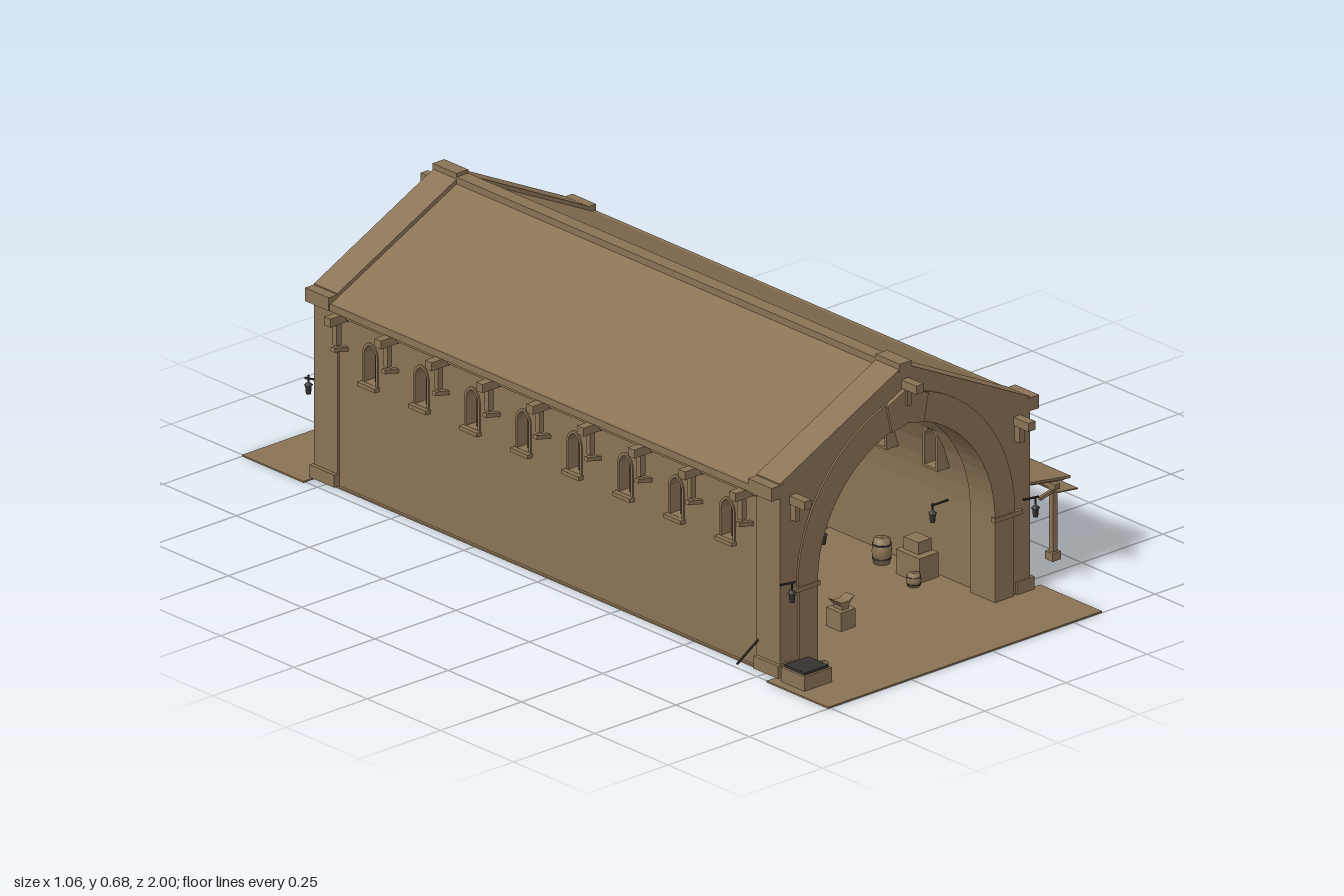
import * as THREE from 'three';

const mat = (name, color) => Object.assign(new THREE.MeshStandardMaterial({ color }), { name });
const V = (x, y, z) => new THREE.Vector3(x, y, z);

export function createModel() {
  const stone = mat('tan stone', 0x8b7355);
  const iron = mat('dark iron', 0x35322f);
  const shell = mat('tan stone two sided', 0x8b7355);
  shell.side = THREE.DoubleSide;
  shell.flatShading = true;

  const root = new THREE.Group();
  root.name = 'hall';
  const hall = new THREE.Group();
  hall.name = 'hallBody';
  hall.position.x = -0.085;
  root.add(hall);

  // ---- helpers ----
  const add = (g, name, geo, x = 0, y = 0, z = 0, m = stone) => {
    const o = new THREE.Mesh(geo, m);
    o.name = name;
    o.position.set(x, y, z);
    g.add(o);
    return o;
  };
  // box from its min and max corners
  const box = (g, name, x0, x1, y0, y1, z0, z1, m) => add(g, name,
    new THREE.BoxGeometry(x1 - x0, y1 - y0, z1 - z0), (x0 + x1) / 2, (y0 + y1) / 2, (z0 + z1) / 2, m);
  // bar running from a to b
  const beam = (g, name, a, b, w, h, m) => {
    const o = add(g, name, new THREE.BoxGeometry(w, h, a.distanceTo(b)), 0, 0, 0, m);
    o.position.copy(a).lerp(b, 0.5);
    o.lookAt(b);
    return o;
  };
  const extrude = (shape, depth) => new THREE.ExtrudeGeometry(shape, { depth, bevelEnabled: false });
  // pointed arch, right springing to left springing
  const arch = (h, spring, rise, cx = 0, n = 14) => {
    const r = (rise * rise + h * h) / (2 * h), end = Math.asin(rise / r), right = [];
    for (let i = 0; i <= n; i++) {
      const t = (end * i) / n;
      right.push([r * Math.cos(t) - (r - h), spring + r * Math.sin(t)]);
    }
    const left = right.slice(0, -1).reverse().map(([x, y]) => [-x, y]);
    return [...right, ...left].map(([x, y]) => new THREE.Vector2(x + cx, y));
  };
  const archWindow = (h, y0, spring, rise, cx) => [
    new THREE.Vector2(cx - h, y0), new THREE.Vector2(cx + h, y0), ...arch(h, spring, rise, cx, 5)];
  const barrel = (g, x, z, r, h, y = 0.004) => {
    const p = [[0, 0], [r * 0.82, 0], [r, h * 0.5], [r * 0.82, h], [0, h]].map(a => new THREE.Vector2(...a));
    add(g, 'barrel', new THREE.LatheGeometry(p, 12), x, y, z);
    for (const k of [0.22, 0.78])
      add(g, 'barrelHoop', new THREE.CylinderGeometry(r * 0.95, r * 0.95, h * 0.07, 12), x, y + h * k, z, iron);
  };
  const lantern = (g, x, y, z) => {
    add(g, 'lanternBody', new THREE.CylinderGeometry(0.008, 0.006, 0.022, 6), x, y, z, iron);
    add(g, 'lanternCap', new THREE.ConeGeometry(0.011, 0.01, 6), x, y + 0.016, z, iron);
    box(g, 'lanternHook', x - 0.0015, x + 0.0015, y + 0.02, y + 0.036, z - 0.0015, z + 0.0015, iron);
  };

  // ---- floor ----
  box(hall, 'floor', -0.385, 0.385, 0, 0.004, -0.79, 0.79);

  // ---- end gables, the rear one turned half round ----
  for (const turn of [0, Math.PI]) {
    const end = new THREE.Group();
    end.name = turn ? 'rearGable' : 'frontGable';
    end.rotation.y = turn;
    hall.add(end);
    box(end, 'apron', -0.422, 0.422, 0, 0.004, 0.79, 1);

    const wall = new THREE.Shape([[0.273, 0], [0.385, 0], [0.385, 0.483], [0, 0.672], [-0.385, 0.483], [-0.385, 0], [-0.273, 0]]
      .map(p => new THREE.Vector2(...p)).concat(arch(0.273, 0.21, 0.32).reverse()));
    add(end, 'gableWall', extrude(wall, 0.08), 0, 0, 0.715);

    const ring = new THREE.Shape([...arch(0.335, 0.21, 0.395), ...arch(0.273, 0.21, 0.32).reverse()]);
    add(end, 'archRing', extrude(ring, 0.006), 0, 0, 0.794);
    const key = new THREE.Shape([[-0.049, 0.518], [0, 0.53], [0.049, 0.518], [0.063, 0.587], [0, 0.617], [-0.063, 0.587]]
      .map(p => new THREE.Vector2(...p)));
    add(end, 'keystone', extrude(key, 0.012), 0, 0, 0.794);
    box(end, 'ridgeBlock', -0.018, 0.018, 0.655, 0.677, 0.715, 0.797);

    for (const s of [-1, 1]) {
      const span = (name, a, b, ...r) => box(end, name, Math.min(s * a, s * b), Math.max(s * a, s * b), ...r);
      span('pilaster', 0.273, 0.33, 0.004, 0.203, 0.794, 0.8);
      span('impost', 0.269, 0.355, 0.203, 0.214, 0.79, 0.804);
      span('eaveBlock', 0.372, 0.412, 0.447, 0.48, 0.715, 0.796);
      span('cornerBase', 0.34, 0.395, 0.004, 0.035, 0.715, 0.8);
      // wall lantern on an arm
      beam(end, 'lanternArm', V(s * 0.375, 0.238, 0.79), V(s * 0.375, 0.238, 0.83), 0.004, 0.004, iron);
      lantern(end, s * 0.375, 0.208, 0.825);
    }
    // projecting beam ends on brackets
    for (const [u, y] of [[-0.345, 0.425], [0, 0.615], [0.345, 0.425]]) {
      box(end, 'beamEnd', u - 0.011, u + 0.011, y, y + 0.021, 0.75, 0.846);
      box(end, 'beamBracket', u - 0.007, u + 0.007, y - 0.04, y, 0.79, 0.812);
    }
    // coal bin
    box(end, 'coalBin', -0.4, -0.315, 0.004, 0.04, 0.815, 0.895);
    box(end, 'coal', -0.394, -0.321, 0.04, 0.046, 0.821, 0.889, iron);
    // open door leaf against the inner wall
    box(end, 'doorLeaf', -0.288, -0.276, 0.004, 0.19, 0.58, 0.7);
    for (const y of [0.03, 0.1, 0.165]) box(end, 'doorStrap', -0.276, -0.273, y, y + 0.012, 0.58, 0.7, iron);
  }

  // ---- side walls, windows and rafter tails ----
  const windowZ = Array.from({ length: 8 }, (_, i) => 0.609 - 0.174 * i);
  const isBlind = (s, i) => s > 0 && i === 2;
  for (const s of [-1, 1]) {
    const side = new THREE.Group();
    side.name = s > 0 ? 'leftSide' : 'rightSide';
    hall.add(side);
    const span = (name, a, b, ...r) => box(side, name, Math.min(s * a, s * b), Math.max(s * a, s * b), ...r);
    // extrudes a (-z, y) shape across the wall from a to b
    const across = (name, shape, a, b) => {
      const o = add(side, name, extrude(shape, b - a), s > 0 ? a : -b);
      o.rotation.y = Math.PI / 2;
    };
    const wall = new THREE.Shape([[-0.72, 0.003], [0.72, 0.003], [0.72, 0.455], [-0.72, 0.455]].map(p => new THREE.Vector2(...p)));
    windowZ.forEach((z, i) => {
      if (isBlind(s, i)) {
        across('blindArch', new THREE.Shape(archWindow(0.038, 0.275, 0.375, 0.04, -z)), 0.37, 0.384);
        return;
      }
      wall.holes.push(new THREE.Path(archWindow(0.02, 0.29, 0.36, 0.026, -z)));
      const frame = new THREE.Shape(archWindow(0.026, 0.285, 0.36, 0.033, -z));
      frame.holes.push(new THREE.Path(archWindow(0.0195, 0.2905, 0.36, 0.0255, -z)));
      across('windowFrame', frame, 0.245, 0.381);
      span('windowSill', 0.375, 0.393, 0.28, 0.29, z - 0.03, z + 0.03);
      span('windowBar', 0.36, 0.364, 0.29, 0.38, z - 0.002, z + 0.002, iron);
    });
    across('sideWall', wall, 0.346, 0.378);
    span('cornice', 0.37, 0.39, 0.43, 0.455, -0.72, 0.72);
    span('eaveGutter', 0.38, 0.41, 0.447, 0.465, -0.72, 0.72);
    for (let i = 0; i < 9; i++) {
      const z = 0.691 - 0.1728 * i;
      span('rafterTail', 0.37, 0.438, 0.424, 0.445, z - 0.011, z + 0.011);
      span('rafterPost', 0.4, 0.415, 0.37, 0.424, z - 0.007, z + 0.007);
      beam(side, 'rafterStrut', V(s * 0.412, 0.377, z), V(s * 0.376, 0.334, z), 0.012, 0.01);
    }
  }

  // ---- vault lining, left open at the windows ----
  const edges = [-0.72, ...windowZ.flatMap(z => [z - 0.021, z + 0.021]).sort((a, b) => a - b), 0.72];
  const rows = [0.003, 0.21, 0.25, 0.288, 0.335, 0.388, 0.43, 0.47, 0.505, 0.53, 0.545];
  const rad = (0.335 ** 2 + 0.29 ** 2) / 0.58;
  const halfAt = y => (y <= 0.21 ? 0.29 : Math.max(0, Math.sqrt(rad * rad - (y - 0.21) ** 2) - (rad - 0.29)));
  const quads = [];
  for (const s of [-1, 1]) for (let e = 0; e + 1 < edges.length; e++) for (let k = 0; k + 1 < rows.length; k++) {
    const win = e % 2 === 1 && (k === 3 || k === 4);
    if (win && !isBlind(s, 7 - (e - 1) / 2)) continue;
    const p = (z, y) => [s * halfAt(y), y, z];
    const a = p(edges[e], rows[k]), b = p(edges[e + 1], rows[k]), c = p(edges[e + 1], rows[k + 1]), d = p(edges[e], rows[k + 1]);
    quads.push(...(s > 0 ? [a, b, c, a, c, d] : [a, c, b, a, d, c]).flat());
  }
  const vault = new THREE.BufferGeometry();
  vault.setAttribute('position', new THREE.Float32BufferAttribute(quads, 3));
  vault.computeVertexNormals();
  add(hall, 'vault', vault, 0, 0, 0, shell);

  // ---- roof ----
  const roof = new THREE.Shape([[-0.405, 0.45], [0, 0.645], [0.405, 0.45], [0.405, 0.463], [0, 0.66], [-0.405, 0.463]]
    .map(p => new THREE.Vector2(...p)));
  add(hall, 'roof', extrude(roof, 1.44), 0, 0, -0.72);
  box(hall, 'ridgeCap', -0.018, 0.018, 0.648, 0.668, -0.716, 0.716);

  // ---- lean-to with stored goods ----
  const lean = new THREE.Group();
  lean.name = 'leanTo';
  hall.add(lean);
  beam(lean, 'leanToRoof', V(0.378, 0.244, 0.425), V(0.581, 0.19, 0.425), 0.578, 0.006);
  beam(lean, 'leanToFlap', V(0.548, 0.184, 0.425), V(0.603, 0.157, 0.425), 0.578, 0.003);
  box(lean, 'leanToPlate', 0.543, 0.559, 0.178, 0.19, 0.15, 0.705);
  for (const z of [0.165, 0.43, 0.69]) {
    box(lean, 'leanToPost', 0.544, 0.558, 0.004, 0.185, z - 0.007, z + 0.007);
    box(lean, 'postFoot', 0.538, 0.564, 0, 0.02, z - 0.013, z + 0.013);
    beam(lean, 'postBrace', V(0.55, 0.15, z), V(0.515, 0.183, z), 0.008, 0.008);
    beam(lean, 'leanToRafter', V(0.378, 0.236, z), V(0.58, 0.181, z), 0.01, 0.009);
  }
  barrel(lean, 0.522, 0.35, 0.023, 0.056);
  barrel(lean, 0.522, 0.255, 0.024, 0.056);
  box(lean, 'storageChest', 0.415, 0.475, 0, 0.052, 0.58, 0.67);
  barrel(lean, 0.488, 0.52, 0.018, 0.042);
  for (const z of [0.595, 0.47]) {
    const disc = add(lean, 'wallDisc', new THREE.CylinderGeometry(0.016, 0.016, 0.006, 16), 0.382, 0.12, z);
    disc.rotation.z = Math.PI / 2;
  }
  for (const z of [0.52, 0.385]) box(lean, 'wallBoard', 0.378, 0.386, 0.08, 0.135, z - 0.015, z + 0.015);

  // ---- interior furnishings ----
  const inside = new THREE.Group();
  inside.name = 'furnishings';
  hall.add(inside);
  box(inside, 'stallFront', -0.29, -0.045, 0.004, 0.15, 0.5, 0.515);
  box(inside, 'stallBack', -0.29, -0.045, 0.004, 0.15, 0.1, 0.115);
  box(inside, 'lampPost', -0.046, -0.034, 0.004, 0.2, 0.515, 0.527);
  const hood = new THREE.Shape([[-0.026, 0.192], [0.026, 0.192], [0, 0.215]].map(p => new THREE.Vector2(...p)));
  add(inside, 'lampHood', extrude(hood, 0.05), -0.04, 0, 0.5);
  box(inside, 'lampArm', -0.04, -0.002, 0.182, 0.186, 0.519, 0.523, iron);
  lantern(inside, -0.004, 0.152, 0.521);
  box(inside, 'anvilStump', -0.103, -0.057, 0.004, 0.05, 0.64, 0.69);
  box(inside, 'anvilWaist', -0.09, -0.07, 0.05, 0.062, 0.65, 0.68);
  const horn = new THREE.Shape([[-0.028, 0.077], [-0.012, 0.06], [0.012, 0.06], [0.028, 0.077], [0.01, 0.068], [-0.01, 0.068]]
    .map(p => new THREE.Vector2(...p)));
  add(inside, 'anvilTop', extrude(horn, 0.03), -0.08, 0, 0.65);
  box(inside, 'crateTall', 0.22, 0.28, 0.004, 0.065, 0.52, 0.6);
  box(inside, 'crateTop', 0.235, 0.275, 0.065, 0.095, 0.53, 0.58);
  barrel(inside, 0.203, 0.6, 0.018, 0.03);
  barrel(inside, 0.24, 0.45, 0.024, 0.06);
  box(inside, 'bench', 0.22, 0.285, 0.004, 0.06, -0.2, 0.2);
  box(inside, 'hangingLampArm', 0.24, 0.29, 0.196, 0.2, 0.618, 0.622, iron);
  lantern(inside, 0.243, 0.167, 0.62);
  // bucket and leaning tool outside
  barrel(hall, -0.29, 0.835, 0.014, 0.024);
  beam(hall, 'leaningTool', V(-0.405, 0.005, 0.72), V(-0.398, 0.12, 0.72), 0.004, 0.004, iron);
  return root;
}
